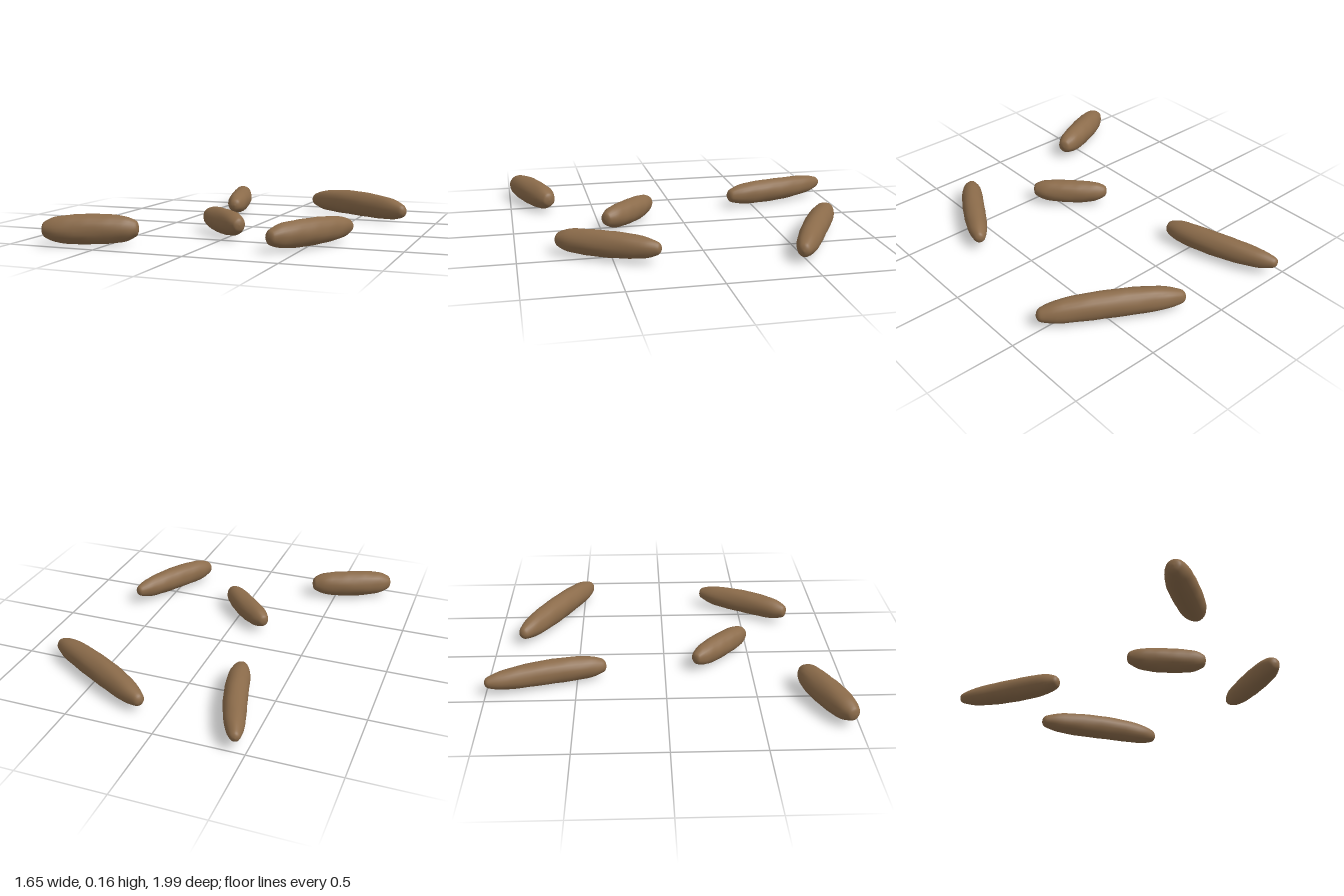
import * as THREE from 'three';
import { mergeVertices } from 'three/addons/utils/BufferGeometryUtils.js';

// Rounded, tapered outline of a log: [radius share, position along length]
const OUTLINE = [
  [0, 0], [0.36, 0.012], [0.58, 0.05], [0.86, 0.16], [1, 0.36],
  [1, 0.62], [0.87, 0.84], [0.6, 0.95], [0.38, 0.987], [0, 1],
].map(([r, t]) => new THREE.Vector2(r, t));

// from / to: tips as [x, y, z]; bow: sideways bend; taper: how much thicker the far end is
const LOGS = [
  { name: 'backRightLog', from: [-0.445, 0.09, -1.0], to: [-0.25, 0.08, -0.335], width: 0.064, height: 0.069, y: 0.086, bow: 0.016, taper: 0.2 },
  { name: 'backLeftLog', from: [0.125, 0.08, -0.855], to: [0.82, 0.075, -0.46], width: 0.068, height: 0.076, y: 0.09, bow: -0.004, taper: 0 },
  { name: 'middleLog', from: [-0.22, 0.09, 0.17], to: [0.105, 0.09, 0.485], width: 0.064, height: 0.07, y: 0.084, bow: 0.006, taper: 0.05 },
  { name: 'frontLeftLog', from: [0.665, 0.09, 0.26], to: [0.37, 0.085, 0.785], width: 0.064, height: 0.071, y: 0.089, bow: 0.008, taper: 0.12 },
  { name: 'frontRightLog', from: [-0.825, 0.09, 0.965], to: [-0.355, 0.09, 0.765], width: 0.074, height: 0.08, y: 0.088, bow: 0.004, taper: 0 },
];

function logGeometry(log, seed) {
  const profile = new THREE.SplineCurve(OUTLINE).getPoints(32);
  profile.forEach((p) => { p.x = Math.max(p.x, 0); });
  profile[0].set(0, 0);
  profile[32].set(0, 1);

  let geometry = new THREE.LatheGeometry(profile, 24);
  geometry.deleteAttribute('uv');
  geometry.deleteAttribute('normal');
  geometry = mergeVertices(geometry, 1e-5);

  const from = new THREE.Vector3(...log.from);
  const to = new THREE.Vector3(...log.to);
  const up = new THREE.Vector3(0, 1, 0);
  const side = to.clone().sub(from).setY(0).normalize().cross(up);
  const position = geometry.attributes.position;
  const v = new THREE.Vector3();

  for (let i = 0; i < position.count; i++) {
    const [x, t, z] = [position.getX(i), position.getY(i), position.getZ(i)];
    const angle = Math.atan2(z, x);
    const arch = Math.sin(Math.PI * THREE.MathUtils.clamp(t, 0, 1));
    // Gentle uneven bark
    const bark = 1 + 0.015 * Math.sin(5 * angle + 9 * t + seed) + 0.012 * Math.sin(3 * angle - 31 * t + 2 * seed);
    const swell = (1 + log.taper * (t - 0.5)) * bark;
    v.lerpVectors(from, to, t);
    v.y = THREE.MathUtils.lerp(v.y, log.y, arch);
    v.addScaledVector(side, x * log.width * swell - log.bow * arch);
    v.addScaledVector(up, z * log.height * swell);
    position.setXYZ(i, v.x, v.y, v.z);
  }
  geometry.computeVertexNormals();
  return geometry;
}

export function createModel() {
  const model = new THREE.Group();
  model.name = 'scatteredLogs';
  const wood = new THREE.MeshStandardMaterial({ color: 0x8b6b4a });
  wood.name = 'brown wood';

  LOGS.forEach((log, i) => {
    const mesh = new THREE.Mesh(logGeometry(log, i * 1.7), wood);
    mesh.name = log.name;
    model.add(mesh);
  });
  return model;
}
